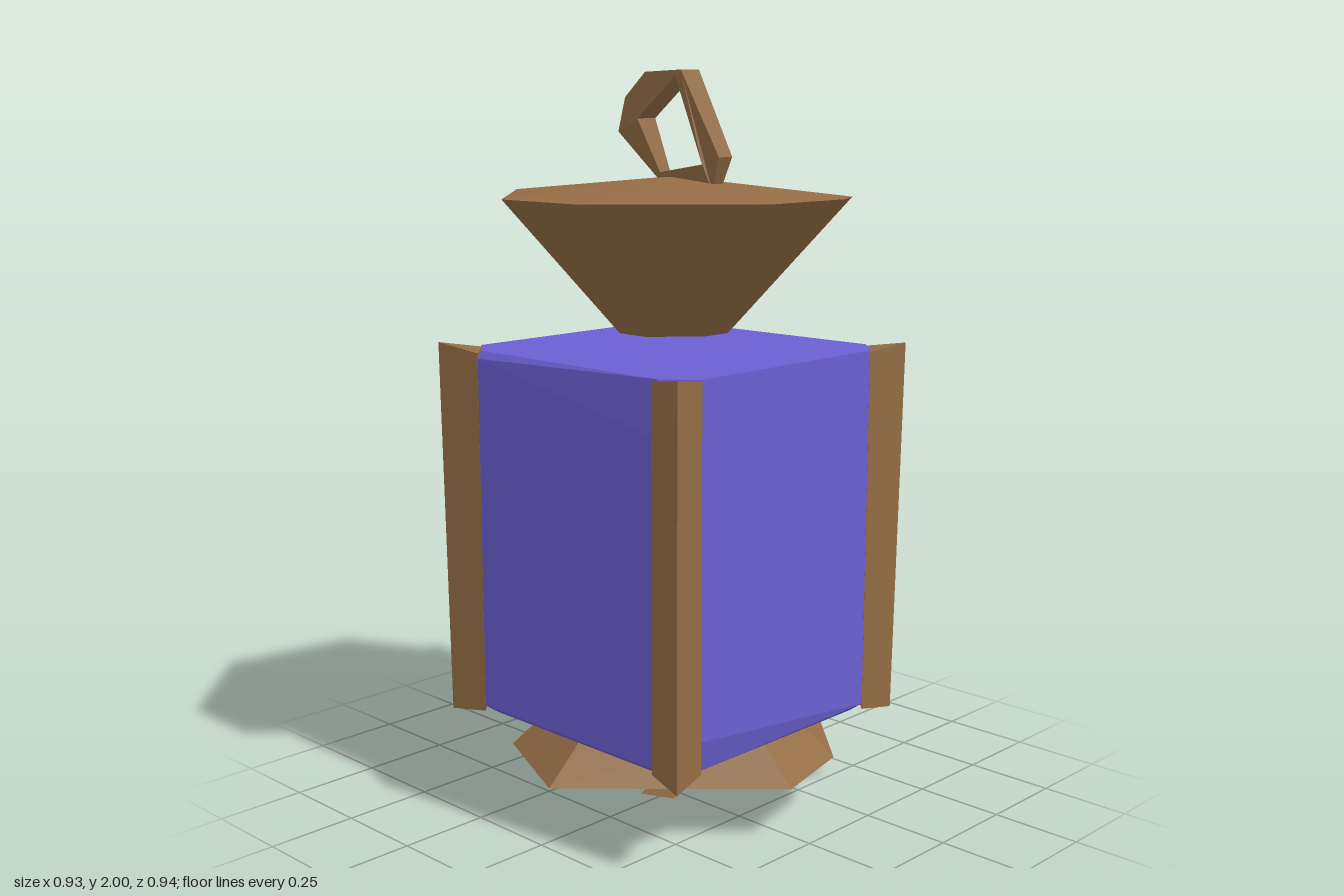
import * as THREE from 'three';

const brown = new THREE.MeshStandardMaterial({ color: 0x946d45, flatShading: true });
brown.name = 'brown wood';
const violet = new THREE.MeshStandardMaterial({ color: 0x6c60d2, flatShading: true });
violet.name = 'violet glass';

// Joins closed loops of [x, y, z], listed bottom to top and counter-clockwise from above.
function loft(name, loops, material, bottomCentre, topCentre) {
  const pos = [];
  const n = loops[0].length;
  const tri = (...pts) => pts.forEach((p) => pos.push(...p));
  const mid = (loop) => [0, 1, 2].map((k) => loop.reduce((s, p) => s + p[k], 0) / n);
  const first = loops[0], last = loops[loops.length - 1];
  const lo = bottomCentre || mid(first), hi = topCentre || mid(last);
  for (let i = 0; i < n; i++) {
    const j = (i + 1) % n;
    for (let k = 0; k + 1 < loops.length; k++) {
      const a = loops[k], b = loops[k + 1];
      tri(a[i], a[j], b[j]);
      tri(a[i], b[j], b[i]);
    }
    tri(lo, first[j], first[i]);
    tri(hi, last[i], last[j]);
  }
  const geo = new THREE.BufferGeometry();
  geo.setAttribute('position', new THREE.Float32BufferAttribute(pos, 3));
  geo.computeVertexNormals();
  const mesh = new THREE.Mesh(geo, material);
  mesh.name = name;
  return mesh;
}

// Lifts an [x, z] outline to a height, scaled about the axis.
const ring = (outline, y, s = 1) => outline.map(([x, z]) => [x * s, y, z * s]);

export function createModel() {
  const group = new THREE.Group();

  // Pointed foot knob
  const foot = [[-0.05, 0.08], [0.04, 0.04], [0.0, -0.07], [-0.075, -0.03]];
  const tip = [-0.015, 0.08, 0.01];
  group.add(loft('footKnob', [ring(foot, 0), foot.map(() => tip)], brown, null, tip));

  // Flared base plate
  const base = [[0, 0.47], [0.46, 0.03], [0.4, -0.22], [0.18, -0.425], [-0.19, -0.425], [-0.465, 0.01], [-0.31, 0.33]];
  group.add(loft('basePlate', [ring(base, 0.15), ring(base, 0.27, 0.72)], brown));

  // Glass body with chamfered corners and unevenly bevelled rims
  const a = 0.41, b = 0.33;
  const body = [[-b, a], [b, a], [a, b], [a, -b], [b, -a], [-b, -a], [-a, -b], [-a, b]];
  const lowY = [0.28, 0.28, 0.35, 0.28, 0.28, 0.28, 0.28, 0.28];
  const highY = [1.25, 1.13, 1.24, 1.25, 1.25, 1.19, 1.25, 1.25];
  const rim = body.map(([x, z], i) => [x, 1.27, i === 5 ? -0.385 : i < 2 ? 0.395 : z]);
  group.add(loft('glassBody', [
    ring(body, 0.26, 0.94),
    body.map(([x, z], i) => [x, lowY[i], z]),
    body.map(([x, z], i) => [x, highY[i], z]),
    rim,
  ], violet));

  // Triangular corner posts: sign of x and z, outer corner at the bottom and top
  const posts = [
    ['frontLeftPost', 1, 1, [0.415, 0.235, 0.415], [0.44, 1.285, 0.44]],
    ['backLeftPost', 1, -1, [0.43, 0.25, 0.43], [0.45, 1.285, 0.43]],
    ['frontRightPost', -1, 1, [0.44, 0.25, 0.435], [0.455, 1.285, 0.44]],
    ['backRightPost', -1, -1, [0.44, 0.25, 0.42], [0.45, 1.29, 0.435]],
  ];
  for (const [name, sx, sz, bottom, top] of posts) {
    const section = (outer, y) => {
      const pts = [[b - 0.005, y, a + 0.002], outer, [a + 0.002, y, b - 0.005]]
        .map(([x, h, z]) => [x * sx, h, z * sz]);
      return sx * sz > 0 ? pts : pts.reverse();
    };
    group.add(loft(name, [section(bottom, 0.265), section(top, 1.265)], brown));
  }

  // Funnel-shaped lid with a shallow peak
  const lid = [[-0.145, 0.47], [0.14, 0.47], [0.465, 0.145], [0.465, -0.14], [0.29, -0.39],
    [-0.02, -0.47], [-0.395, -0.285], [-0.465, 0.145]];
  const lidRim = lid.map(([x, z]) => [x, z < -0.38 ? 1.668 : 1.68, z]);
  group.add(loft('lid', [ring(lid, 1.32, 0.33), lidRim], brown, null, [-0.02, 1.725, -0.02]));

  // Angular carrying ring, tapering toward the lid
  const points = (list) => list.map(([x, y]) => new THREE.Vector2(x, y));
  const outline = new THREE.Shape(points([[-0.06, 1.715], [0.13, 1.69], [0.175, 1.78], [0.06, 2],
    [-0.07, 1.995], [-0.145, 1.93], [-0.175, 1.84]]));
  outline.holes.push(new THREE.Path(points([[-0.05, 1.735], [-0.1, 1.875], [0.04, 1.985], [0.11, 1.76]])));
  const ringGeo = new THREE.ExtrudeGeometry(outline, { depth: 0.07, bevelEnabled: false });
  const p = ringGeo.attributes.position;
  for (let i = 0; i < p.count; i++) {
    const t = THREE.MathUtils.clamp((p.getY(i) - 1.7) / 0.15, 0, 1);
    const front = p.getZ(i) > 0.035;
    p.setZ(i, front ? -0.01 + 0.046 * t : -0.04 + 0.008 * t);
  }
  ringGeo.computeVertexNormals();
  const handle = new THREE.Mesh(ringGeo, brown);
  handle.name = 'carryingRing';
  group.add(handle);

  return group;
}
